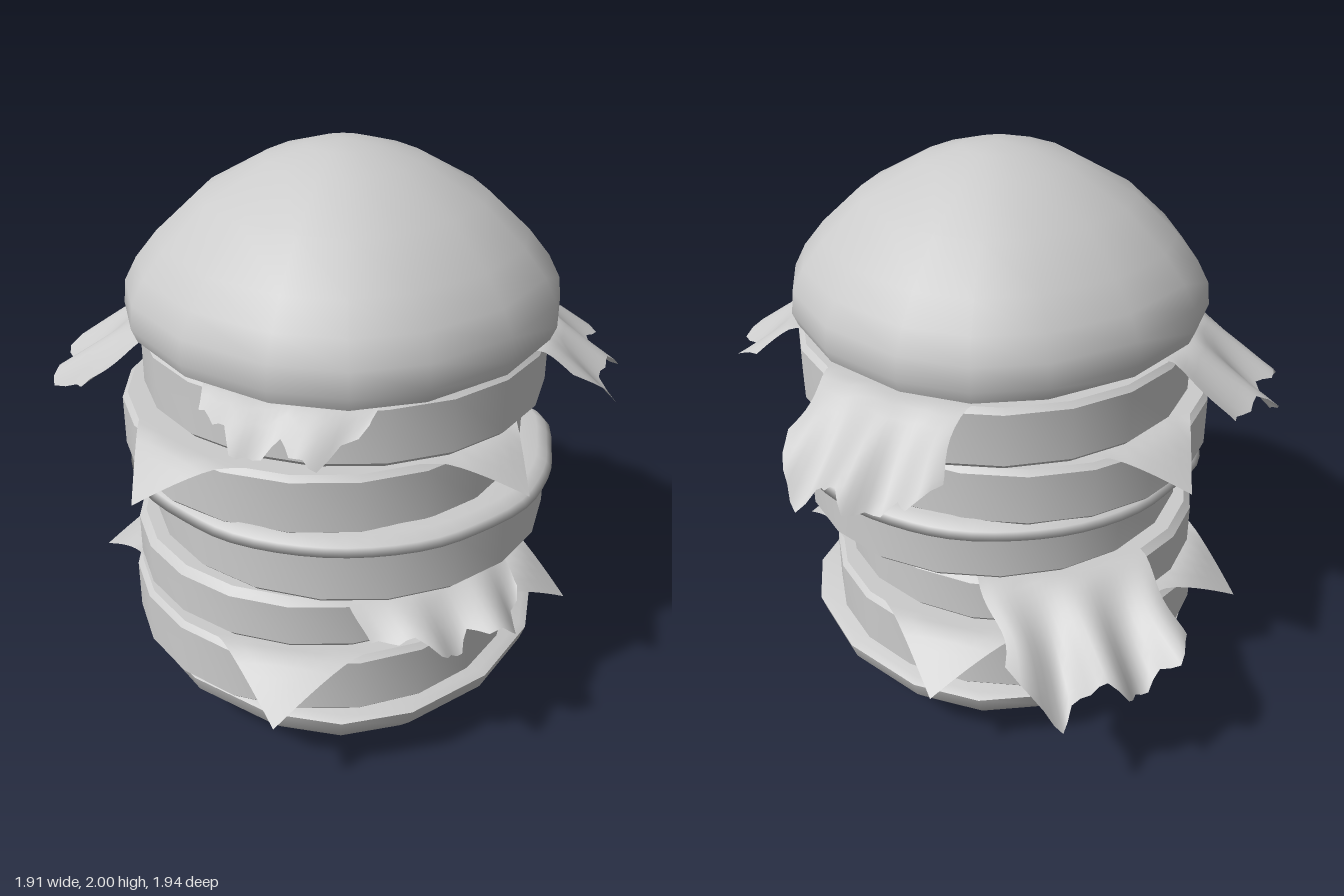
import * as THREE from 'three';
import { toCreasedNormals } from 'three/addons/utils/BufferGeometryUtils.js';

const grey = new THREE.MeshStandardMaterial({ color: 0xcccccc });
const greySheet = new THREE.MeshStandardMaterial({ color: 0xcccccc, side: THREE.DoubleSide });
const v2 = (pairs) => pairs.map(([x, y]) => new THREE.Vector2(x, y));

// Move every vertex of a geometry by a rule
function deform(geometry, rule) {
  const pos = geometry.attributes.position;
  const p = new THREE.Vector3();
  for (let i = 0; i < pos.count; i++) {
    rule(p.fromBufferAttribute(pos, i));
    pos.setXYZ(i, p.x, p.y, p.z);
  }
  return geometry;
}

export function createModel() {
  const model = new THREE.Group();
  model.name = 'stackedBurger';

  function add(name, geometry, x, z, material = grey) {
    const mesh = new THREE.Mesh(geometry, material);
    mesh.name = name;
    mesh.position.set(x, 0, z);
    model.add(mesh);
  }

  // Bun: sixteen-sided lathe, pulled slightly towards a square
  function bun(name, profile, x, z) {
    const geo = deform(new THREE.LatheGeometry(v2(profile), 16), (p) => {
      const t = Math.atan2(p.x, p.z);
      const r = Math.hypot(p.x, p.z) * (1 + 0.02 * (1 - Math.cos(4 * t)));
      const a = t + 0.06 * Math.sin(4 * t);
      p.x = r * Math.sin(a);
      p.z = r * Math.cos(a);
    });
    add(name, toCreasedNormals(geo, 0.9), x, z);
  }

  // Round slice with small chamfers
  function slice(name, x, z, r, y0, y1, c = 0.018) {
    const geo = new THREE.LatheGeometry(v2([
      [0, y0], [r - c, y0], [r, y0 + c], [r, y1 - c], [r - c, y1], [0, y1],
    ]), 20);
    add(name, toCreasedNormals(geo, 0.6), x, z);
  }

  // Height lost by a sheet once it passes the rim of the slice below
  function droop(x, z, rim, slope) {
    const d = Math.max(0, Math.hypot(x, z) - rim);
    return d > 0 ? slope * d * d / (d + 0.02) : 0;
  }

  // Square cheese sheet whose corners hang over the slice below
  function cheese(name, x, z, y, rim, halfDiagonal, angle, slope) {
    const side = halfDiagonal * Math.SQRT2;
    const geo = new THREE.PlaneGeometry(side, side, 28, 28);
    geo.rotateX(-Math.PI / 2).rotateY(Math.PI / 4 + angle);
    deform(geo, (p) => { p.y = y - droop(p.x, p.z, rim, slope); });
    geo.computeVertexNormals();
    add(name, geo, x, z, greySheet);
  }

  // Lettuce strip: ragged ends, rippled where it hangs past the rim (under = centre of slice below)
  function lettuce(name, x, z, y, under, rim, halfWidth, halfLength, angle, slope) {
    const geo = new THREE.PlaneGeometry(2, 2, 24, 48).rotateX(-Math.PI / 2);
    deform(geo, (p) => {
      const u = p.x, v = p.z, end = Math.abs(v);
      const ragged = 0.035 * Math.sin(8 * u + v) + 0.015 * Math.sin(19 * u) - 0.14 * u ** 4;
      p.x = u * halfWidth * (0.9 + 0.14 * end) + 0.012 * Math.sin(14 * v) * u;
      p.z = v * halfLength * (1 + ragged * end ** 4);
      p.applyAxisAngle(new THREE.Vector3(0, 1, 0), angle);
      const dx = p.x + x - under[0], dz = p.z + z - under[1];
      const past = Math.max(0, Math.hypot(dx, dz) - rim);
      p.y = y - droop(dx, dz, rim, slope) + 0.16 * past * Math.sin(7 * u + 2 * v);
    });
    geo.computeVertexNormals();
    add(name, geo, x, z, greySheet);
  }

  // Buns
  bun('bottomBun', [[0, 0], [0.24, 0.005], [0.48, 0.045], [0.62, 0.115], [0.69, 0.19],
    [0.71, 0.25], [0.685, 0.265], [0, 0.265]], -0.03, 0.09);
  bun('topBun', [[0, 1.405], [0.685, 1.405], [0.703, 1.45], [0.695, 1.53], [0.655, 1.61], [0.585, 1.7],
    [0.45, 1.83], [0.25, 1.945], [0.12, 1.985], [0, 2]], -0.03, 0.11);

  // Patties and the thinner tomato slice
  slice('firstPatty', -0.07, 0.06, 0.69, 0.26, 0.48);
  slice('tomato', -0.09, 0.058, 0.653, 0.5, 0.695, 0.025);
  slice('secondPatty', -0.02, 0.135, 0.69, 0.715, 0.93);
  slice('thirdPatty', -0.07, 0.055, 0.69, 0.95, 1.16);
  slice('fourthPatty', 0, 0.09, 0.69, 1.175, 1.39);

  // Wavy-edged sauce layer between the middle patties
  const sauce = deform(new THREE.LatheGeometry(v2([
    [0, 0.935], [0.68, 0.932], [0.745, 0.923], [0.725, 0.945], [0.69, 0.968], [0.6, 0.97], [0, 0.97],
  ]), 64), (p) => {
    const t = Math.atan2(p.x, p.z);
    const r = Math.hypot(p.x, p.z);
    const wave = Math.sin(9 * t) + 0.6 * Math.sin(14 * t + 1);
    const k = r > 0.65 ? 1 + 0.011 * wave : 1;
    p.x *= k;
    p.z *= k;
    if (r > 0.65) p.y += 0.005 * wave;
  });
  add('sauceLayer', sauce, -0.03, 0.11);

  // Cheese sheets
  cheese('lowerCheese', -0.06, 0.07, 0.492, 0.69, 0.88, 0.576, 0.82);
  cheese('upperCheese', -0.08, 0.07, 1.168, 0.69, 0.86, 0.03, 0.82);

  // Lettuce strips
  const deg = Math.PI / 180;
  lettuce('lowerLettuce', 0.01, 0, 0.706, [-0.09, 0.058], 0.655, 0.29, 0.95, 162 * deg, 0.55);
  lettuce('upperLettuceA', -0.03, 0.07, 1.4, [0, 0.09], 0.69, 0.28, 0.93, 40 * deg, 0.85);
  lettuce('upperLettuceB', 0.08, 0.09, 1.397, [0, 0.09], 0.69, 0.26, 0.9, 116 * deg, 0.85);

  return model;
}
